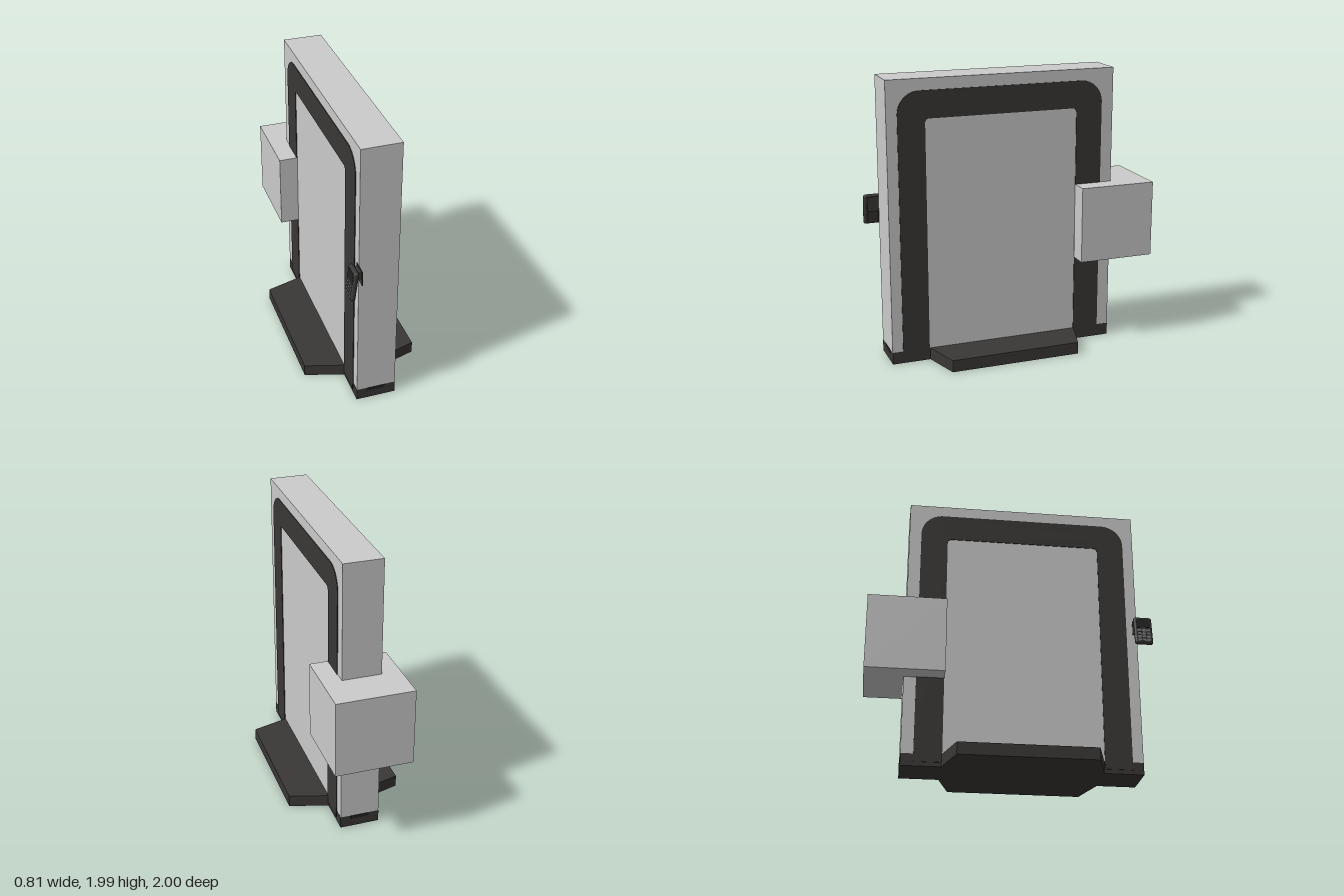
import * as THREE from 'three';
import { RoundedBoxGeometry } from 'three/addons/geometries/RoundedBoxGeometry.js';

const grey = new THREE.MeshStandardMaterial({ color: 0xcccccc });
const dark = new THREE.MeshStandardMaterial({ color: 0x3a3836 });
const black = new THREE.MeshStandardMaterial({ color: 0x222222 });
const keyGrey = new THREE.MeshStandardMaterial({ color: 0x777777 });

function add(parent, name, geometry, material, x = 0, y = 0, z = 0) {
  const mesh = new THREE.Mesh(geometry, material);
  mesh.name = name;
  mesh.position.set(x, y, z);
  parent.add(mesh);
  return mesh;
}

// Box given by its lower and upper corners
function boxBetween(parent, name, material, [x0, y0, z0], [x1, y1, z1]) {
  return add(parent, name, new THREE.BoxGeometry(x1 - x0, y1 - y0, z1 - z0), material,
    (x0 + x1) / 2, (y0 + y1) / 2, (z0 + z1) / 2);
}

// Upside-down U outline in (z, y) with rounded upper corners
function archBand() {
  const s = new THREE.Shape();
  const y0 = 0.03, R = 0.155, r = 0.03;
  const zo = [-0.645, 0.825], zi = [-0.455, 0.635], top = 1.905, inner = 1.715;
  s.moveTo(zo[0], y0);
  s.lineTo(zi[0], y0);
  s.lineTo(zi[0], inner - r);
  s.absarc(zi[0] + r, inner - r, r, Math.PI, Math.PI / 2, true);
  s.absarc(zi[1] - r, inner - r, r, Math.PI / 2, 0, true);
  s.lineTo(zi[1], y0);
  s.lineTo(zo[1], y0);
  s.absarc(zo[1] - R, top - R, R, 0, Math.PI / 2, false);
  s.absarc(zo[0] + R, top - R, R, Math.PI / 2, Math.PI, false);
  s.closePath();
  return s;
}

// Tilted handset with a screen and keypad facing outwards (-x)
function makeHandset() {
  const g = new THREE.Group();
  g.name = 'handset';
  add(g, 'handsetBody', new RoundedBoxGeometry(0.034, 0.215, 0.128, 3, 0.015), dark);
  add(g, 'handsetScreen', new THREE.BoxGeometry(0.004, 0.07, 0.096), black, -0.017, 0.054, 0);
  for (let row = 0; row < 4; row++) {
    for (let col = -1; col <= 1; col++) {
      add(g, 'handsetKey', new THREE.BoxGeometry(0.006, 0.018, 0.024), keyGrey,
        -0.017, -0.005 - row * 0.026, col * 0.032);
    }
  }
  add(g, 'handsetBackCover', new RoundedBoxGeometry(0.006, 0.085, 0.075, 2, 0.002), dark, 0.017, -0.05, 0);
  g.position.set(-0.193, 1.041, 0.932);
  g.rotation.z = -0.125;
  return g;
}

export function createModel() {
  const model = new THREE.Group();

  // Upright slab and the rear housing
  boxBetween(model, 'uprightPanel', grey, [-0.137, 0.085, -0.73], [0.137, 1.985, 0.9]);
  boxBetween(model, 'rearHousing', grey, [-0.27, 0.63, -1], [0.27, 1.17, -0.455]);

  // Cross-shaped base plate with tapered wings
  const half = [[0.138, 0.9], [0.138, 0.63], [0.405, 0.55], [0.405, -0.38], [0.138, -0.46], [0.138, -0.73]];
  const outline = [...half, ...half.map(([x, z]) => [-x, z]).reverse()];
  const baseShape = new THREE.Shape(outline.map(([x, z]) => new THREE.Vector2(x, -z)));
  const baseGeometry = new THREE.ExtrudeGeometry(baseShape, { depth: 0.085, bevelEnabled: false });
  baseGeometry.rotateX(-Math.PI / 2);
  add(model, 'basePlate', baseGeometry, dark);

  // Small slots in both ends of the base
  for (const z of [0.9, -0.73]) {
    boxBetween(model, 'baseSlot', black, [-0.065, 0.058, z - 0.002], [0.065, 0.083, z + 0.002]);
  }

  // Raised arch band on both faces
  for (const side of [-1, 1]) {
    const band = new THREE.ExtrudeGeometry(archBand(), { depth: 0.012, bevelEnabled: false, curveSegments: 16 });
    band.rotateY(-Math.PI / 2); // shape x becomes z, depth becomes -x
    band.translate(side > 0 ? 0.142 : -0.13, 0, 0);
    add(model, side > 0 ? 'archBandLeft' : 'archBandRight', band, dark);
  }

  // Handset and its holder
  model.add(makeHandset());
  boxBetween(model, 'handsetBracket', dark, [-0.142, 1.035, 0.87], [-0.137, 1.14, 0.98]);
  boxBetween(model, 'handsetMount', dark, [-0.175, 1.08, 0.885], [-0.14, 1.13, 0.965]);

  return model;
}
